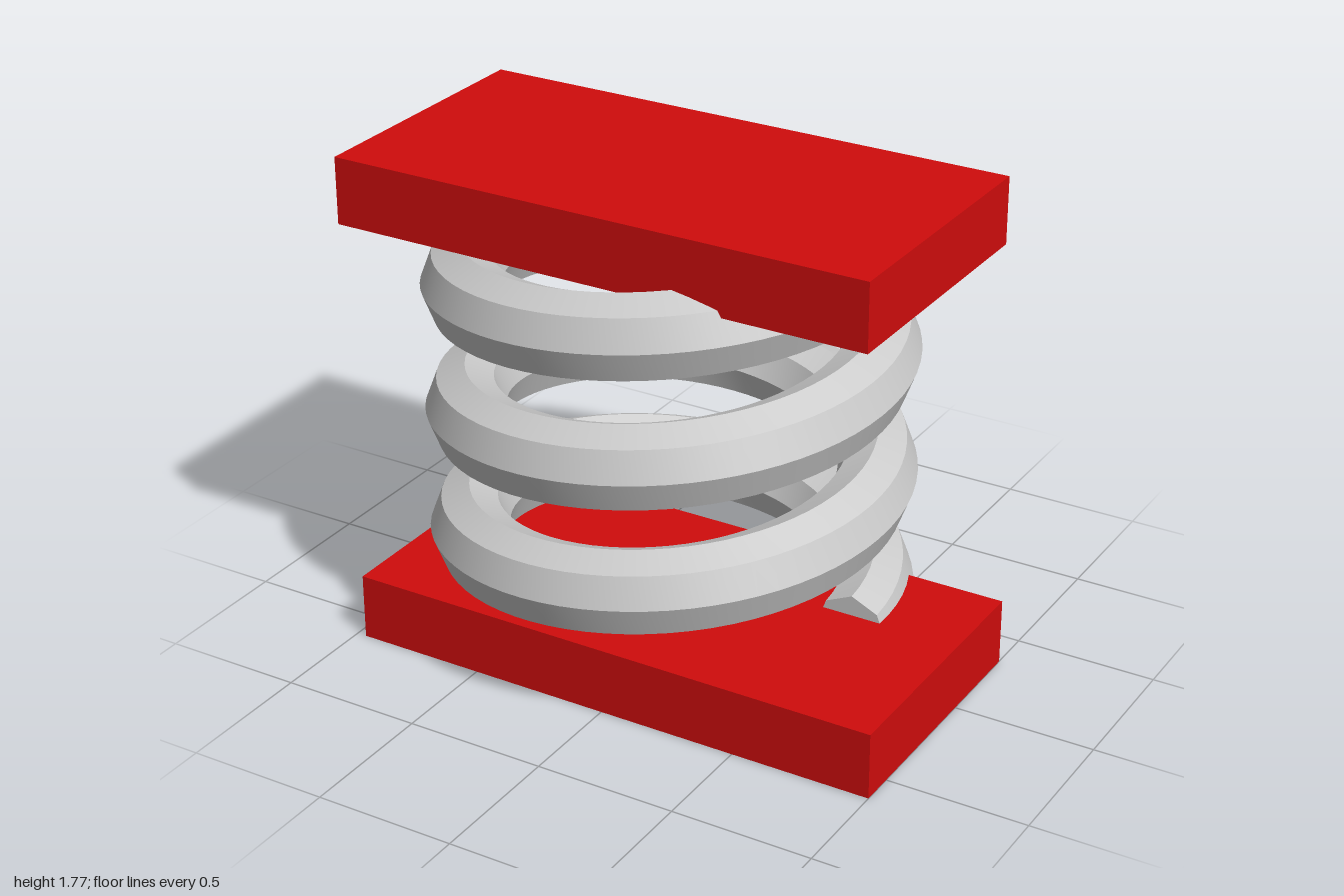
import * as THREE from 'three';
import { toCreasedNormals } from 'three/addons/utils/BufferGeometryUtils.js';

const RADIUS = 0.695, TURNS = 3, Y0 = 0.16, PITCH = 0.45, SIDES = 8, STEPS = 72 * TURNS;

// Octagonal wire swept up a helix, with capped ends cut in the radial plane
function coilGeometry() {
  const pos = [], index = [];
  for (let i = 0; i <= STEPS; i++) {
    const t = i / STEPS, a = t * TURNS * Math.PI * 2;
    for (let j = 0; j < SIDES; j++) {
      const b = (j / SIDES) * Math.PI * 2;
      const r = RADIUS + 0.136 * Math.cos(b);
      pos.push(r * Math.cos(a), Y0 + PITCH * TURNS * t + 0.15 * Math.sin(b), -r * Math.sin(a));
    }
  }
  for (let i = 0; i < STEPS; i++) {
    for (let j = 0; j < SIDES; j++) {
      const k = (j + 1) % SIDES;
      const a = i * SIDES + j, b = i * SIDES + k, c = a + SIDES, d = b + SIDES;
      index.push(a, b, c, b, d, c);
    }
  }
  const last = STEPS * SIDES;
  for (let j = 1; j < SIDES - 1; j++) {
    index.push(0, j + 1, j, last, last + j, last + j + 1);
  }
  const g = new THREE.BufferGeometry();
  g.setAttribute('position', new THREE.Float32BufferAttribute(pos, 3));
  g.setIndex(index);
  return toCreasedNormals(g, 0.4);
}

export function createModel() {
  const model = new THREE.Group();
  const grey = new THREE.MeshStandardMaterial({ color: 0xcccccc, side: THREE.DoubleSide });
  const red = new THREE.MeshStandardMaterial({ color: 0xd00c0c });

  const coil = new THREE.Mesh(coilGeometry(), grey);
  coil.name = 'coilSpring';
  coil.position.x = -0.092;
  model.add(coil);

  // End plates, given by their lower and upper corners
  const plate = (name, lo, hi) => {
    const size = hi.map((v, i) => v - lo[i]);
    const mesh = new THREE.Mesh(new THREE.BoxGeometry(...size), red);
    mesh.position.set(...lo.map((v, i) => v + size[i] / 2));
    mesh.name = name;
    model.add(mesh);
  };
  plate('bottomPlate', [-0.965, 0, -0.342], [1, 0.237, 0.622]);
  plate('topPlate', [-1, 1.532, -0.358], [0.94, 1.766, 0.597]);
  return model;
}
